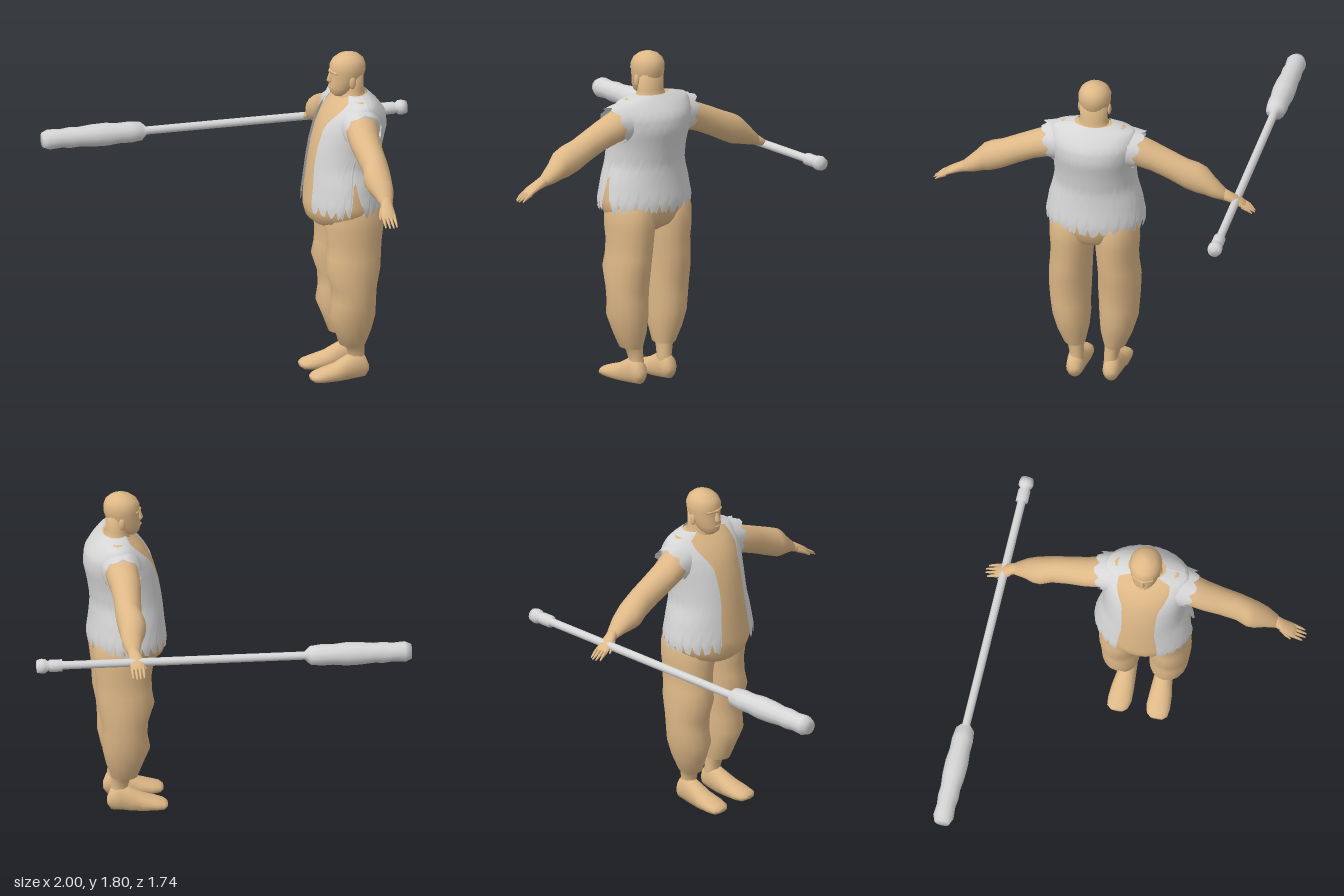
import * as THREE from 'three';

const skin = new THREE.MeshStandardMaterial({ color: 0xdeb887 });
skin.name = 'skin';
const cloth = new THREE.MeshStandardMaterial({ color: 0xd6d6d6, side: THREE.DoubleSide });
cloth.name = 'pale grey';

// Joins rows of points into a surface; closed rows wrap round and get end caps
function surface(rows, closed, flip) {
  const n = rows[0].length, pos = rows.flat(2), idx = [];
  const tri = (a, b, c) => (flip ? idx.push(a, c, b) : idx.push(a, b, c));
  for (let i = 0; i < rows.length - 1; i++) {
    for (let j = 0; j < (closed ? n : n - 1); j++) {
      const k = (j + 1) % n, a = i * n, b = a + n;
      tri(a + j, a + k, b + k);
      tri(a + j, b + k, b + j);
    }
  }
  if (closed) {
    for (const [r, start] of [[0, true], [rows.length - 1, false]]) {
      const c = pos.length / 3, o = r * n;
      for (let d = 0; d < 3; d++) pos.push(rows[r].reduce((s, p) => s + p[d], 0) / n);
      for (let j = 0; j < n; j++) {
        const k = (j + 1) % n;
        start ? tri(c, o + k, o + j) : tri(c, o + j, o + k);
      }
    }
  }
  const g = new THREE.BufferGeometry();
  g.setAttribute('position', new THREE.Float32BufferAttribute(pos, 3));
  g.setIndex(idx);
  g.computeVertexNormals();
  return g;
}

// Oval cross-sections [position on axis, u min, u max, v min, v max]
const AXES = {
  x: { map: (p, u, v) => [p, v, u], hand: -1 }, // u = z, v = y
  y: { map: (p, u, v) => [u, p, v], hand: -1 }, // u = x, v = z
  z: { map: (p, u, v) => [u, v, p], hand: 1 }, // u = x, v = y
};
function loft(axis, sections, n = 16) {
  const { map, hand } = AXES[axis];
  const rows = sections.map(([p, u0, u1, v0, v1]) =>
    Array.from({ length: n }, (_, j) => {
      const a = (j / n) * Math.PI * 2;
      return map(p, (u0 + u1) / 2 + (u1 - u0) / 2 * Math.cos(a), (v0 + v1) / 2 + (v1 - v0) / 2 * Math.sin(a));
    }));
  return surface(rows, true, hand * (sections[sections.length - 1][0] - sections[0][0]) < 0);
}

// Trunk outline: height, front x, back x, half width
const TRUNK = [
  [0.83, 0.36, 0.52, 0.06], [0.87, 0.27, 0.59, 0.17], [0.9, 0.235, 0.61, 0.21], [0.95, 0.222, 0.63, 0.24],
  [1.0, 0.222, 0.635, 0.248], [1.1, 0.235, 0.622, 0.238], [1.2, 0.245, 0.615, 0.208], [1.3, 0.262, 0.63, 0.208],
  [1.4, 0.29, 0.652, 0.22], [1.47, 0.325, 0.645, 0.228], [1.52, 0.37, 0.61, 0.222], [1.55, 0.41, 0.58, 0.205],
  [1.568, 0.43, 0.56, 0.17], [1.576, 0.44, 0.55, 0.09],
];
function trunkAt(y) {
  let i = 0;
  while (i < TRUNK.length - 2 && TRUNK[i + 1][0] < y) i++;
  const a = TRUNK[i], b = TRUNK[i + 1], t = THREE.MathUtils.clamp((y - a[0]) / (b[0] - a[0]), 0, 1);
  return a.map((v, k) => v + (b[k] - v) * t);
}
const jag = (i) => { const s = Math.sin(i * 127.1 + 3) * 43758.5453; return s - Math.floor(s); };

// Open waistcoat wrapped round the trunk, with a torn hem and a side slit
function vestGeometry() {
  const cols = 96, rowCount = 24, rows = [];
  for (let r = 0; r <= rowCount; r++) {
    rows.push(Array.from({ length: cols + 1 }, (_, i) => {
      const c = i / cols;
      const slit = Math.max(0, 1 - Math.abs(i - 21) / 3) * 0.18;
      const hem = 0.935 + 0.03 * jag(i) + (i % 4 === 0 ? 0.045 : 0) + slit;
      const y = hem + (1.578 - hem) * (r / rowCount);
      const [, front, back, half] = trunkAt(y);
      const gap = 0.42 + 0.3 * THREE.MathUtils.smoothstep(y, 1.4, 1.57);
      const a = gap + (Math.PI * 2 - 2 * gap) * c;
      const grow = 0.012 + Math.max(0, 1.08 - y) * 0.1;
      return [(front + back) / 2 - ((back - front) / 2 + 0.012) * Math.cos(a), y + 0.004, (half + grow) * Math.sin(a)];
    }));
  }
  return surface(rows, false, false);
}

// Short torn cap sleeve, longest at the top of the shoulder
function sleeveGeometry(s) {
  const cols = 24, rows = [0, 0.5, 1].map((t) => Array.from({ length: cols + 1 }, (_, i) => {
    const a = (i / cols) * Math.PI * 2;
    const end = 0.25 + 0.03 * Math.sin(a) - (i % 3 === 0 ? 0.025 : 0);
    const z = 0.14 + (end - 0.14) * t;
    return [0.48 + (0.115 - 0.015 * t) * Math.cos(a), 1.448 - 0.018 * t + (0.112 - 0.01 * t) * Math.sin(a), s * z];
  }));
  return surface(rows, false, s < 0);
}

const ARM = [
  [0.12, 0.4, 0.58, 1.36, 1.54], [0.23, 0.39, 0.565, 1.34, 1.512], [0.32, 0.39, 0.55, 1.31, 1.47],
  [0.41, 0.4, 0.545, 1.27, 1.432], [0.5, 0.405, 0.545, 1.225, 1.392], [0.56, 0.39, 0.54, 1.2, 1.368],
  [0.6, 0.395, 0.535, 1.193, 1.348], [0.65, 0.42, 0.53, 1.183, 1.295], [0.71, 0.44, 0.51, 1.172, 1.235],
];
const HAND = [
  [0.7, 0.443, 0.507, 1.174, 1.24], [0.745, 0.432, 0.502, 1.158, 1.21],
  [0.79, 0.42, 0.502, 1.142, 1.178], [0.815, 0.422, 0.5, 1.132, 1.156],
];
const LEG = [
  [0.05, 0.44, 0.53, 0.052, 0.14], [0.12, 0.438, 0.525, 0.055, 0.13], [0.185, 0.42, 0.522, 0.056, 0.145],
  [0.195, 0.385, 0.526, 0.05, 0.168], [0.28, 0.355, 0.555, 0.032, 0.205], [0.37, 0.32, 0.575, 0.025, 0.232],
  [0.45, 0.335, 0.575, 0.024, 0.24], [0.53, 0.33, 0.58, 0.02, 0.246], [0.63, 0.297, 0.6, 0.018, 0.248],
  [0.7, 0.31, 0.605, 0.014, 0.24], [0.78, 0.312, 0.61, 0.008, 0.236], [0.86, 0.3, 0.62, 0.002, 0.242],
  [0.95, 0.3, 0.622, 0, 0.24], [1.05, 0.34, 0.59, 0.03, 0.21],
];
const FOOT = [
  [0.545, 0.075, 0.12, 0.03, 0.07], [0.525, 0.055, 0.142, 0, 0.12], [0.48, 0.05, 0.145, -0.015, 0.15],
  [0.42, 0.046, 0.152, -0.02, 0.122], [0.36, 0.042, 0.163, -0.02, 0.088], [0.29, 0.04, 0.168, -0.015, 0.066],
  [0.245, 0.052, 0.163, -0.006, 0.05], [0.225, 0.075, 0.14, 0.01, 0.035],
];
const HEAD = [
  [1.566, 0.385, 0.43, -0.028, 0.028], [1.585, 0.364, 0.47, -0.05, 0.05], [1.62, 0.356, 0.52, -0.068, 0.068],
  [1.66, 0.364, 0.542, -0.079, 0.079], [1.7, 0.364, 0.554, -0.086, 0.086], [1.735, 0.362, 0.556, -0.087, 0.087],
  [1.765, 0.378, 0.545, -0.075, 0.075], [1.787, 0.408, 0.52, -0.052, 0.052], [1.8, 0.445, 0.485, -0.018, 0.018],
];

export function createModel() {
  const model = new THREE.Group();
  const add = (name, geometry, material = skin) => {
    const mesh = new THREE.Mesh(geometry, material);
    mesh.name = name;
    model.add(mesh);
    return mesh;
  };

  // Trunk, neck and head
  add('trunk', loft('y', TRUNK.map(([y, f, b, h]) => [y, f, b, -h, h]), 32));
  add('neck', loft('y', [[1.5, 0.4, 0.58, -0.11, 0.11], [1.565, 0.415, 0.558, -0.085, 0.085],
    [1.6, 0.425, 0.542, -0.074, 0.074], [1.69, 0.43, 0.545, -0.075, 0.075]]));
  add('head', loft('y', HEAD, 20));
  add('nose', loft('y', [[1.642, 0.352, 0.38, -0.012, 0.012], [1.655, 0.343, 0.38, -0.016, 0.016],
    [1.7, 0.358, 0.38, -0.007, 0.007]], 8));
  add('brow', loft('z', [[-0.055, 0.375, 0.4, 1.696, 1.71], [0, 0.352, 0.38, 1.695, 1.716],
    [0.055, 0.375, 0.4, 1.696, 1.71]], 8));
  add('mouth', loft('z', [[-0.03, 0.362, 0.38, 1.614, 1.622], [0, 0.35, 0.37, 1.61, 1.626],
    [0.03, 0.362, 0.38, 1.614, 1.622]], 8));

  // Limbs, mirrored across the body
  for (const s of [1, -1]) {
    const side = s > 0 ? 'right' : 'left';
    const alongZ = (list) => list.map(([z, ...r]) => [z * s, ...r]);
    const sideways = (z0, z1) => (s > 0 ? [z0, z1] : [-z1, -z0]);
    add(side + 'Arm', loft('z', alongZ(ARM)));
    add(side + 'Hand', loft('z', alongZ(HAND), 12));
    for (let f = 0; f < 4; f++) {
      const x = 0.423 + f * 0.02, tip = [0.855, 0.868, 0.87, 0.858][f];
      add(side + 'Finger', loft('z', alongZ([[0.8, x, x + 0.017, 1.136, 1.164],
        [0.835, x, x + 0.016, 1.122, 1.142], [tip, x + 0.004, x + 0.012, 1.11, 1.118]]), 8));
    }
    add(side + 'Thumb', loft('z', alongZ([[0.73, 0.433, 0.46, 1.165, 1.2], [0.765, 0.416, 0.437, 1.15, 1.175],
      [0.795, 0.412, 0.422, 1.133, 1.145]]), 8));
    add(side + 'Leg', loft('y', LEG.map(([y, x0, x1, a, b]) => [y, x0, x1, ...sideways(a, b)]), 18));
    const foot = loft('x', FOOT.map(([x, a, b, y0, y1]) => [x, ...sideways(a, b), y0, y1]));
    const p = foot.attributes.position;
    for (let i = 0; i < p.count; i++) p.setY(i, Math.max(0, p.getY(i))); // flat sole
    foot.computeVertexNormals();
    add(side + 'Foot', foot);
    const ear = add(side + 'Ear', new THREE.SphereGeometry(1, 10, 8));
    ear.scale.set(0.018, 0.034, 0.01);
    ear.position.set(0.465, 1.652, s * 0.08);
    add(side + 'Sleeve', sleeveGeometry(s), cloth);
  }
  add('vest', vestGeometry(), cloth);

  // Long club lying across one palm: lumpy head, thin shaft, collar and knob
  const profile = [
    [0, -1], [0.04, -1], [0.055, -0.965], [0.05, -0.9], [0.056, -0.85], [0.053, -0.8], [0.06, -0.73],
    [0.062, -0.65], [0.055, -0.58], [0.057, -0.52], [0.05, -0.46], [0.022, -0.43], [0.022, 0.86],
    [0.033, 0.86], [0.033, 0.925], [0.026, 0.935], [0.038, 0.95], [0.04, 0.97], [0.034, 0.995], [0, 1],
  ].map(([r, y]) => new THREE.Vector2(r, y));
  const club = add('club', new THREE.LatheGeometry(profile, 12).rotateZ(-Math.PI / 2), cloth);
  club.position.set(0, 1.167, -0.774);
  club.rotation.y = -0.016;
  return model;
}
